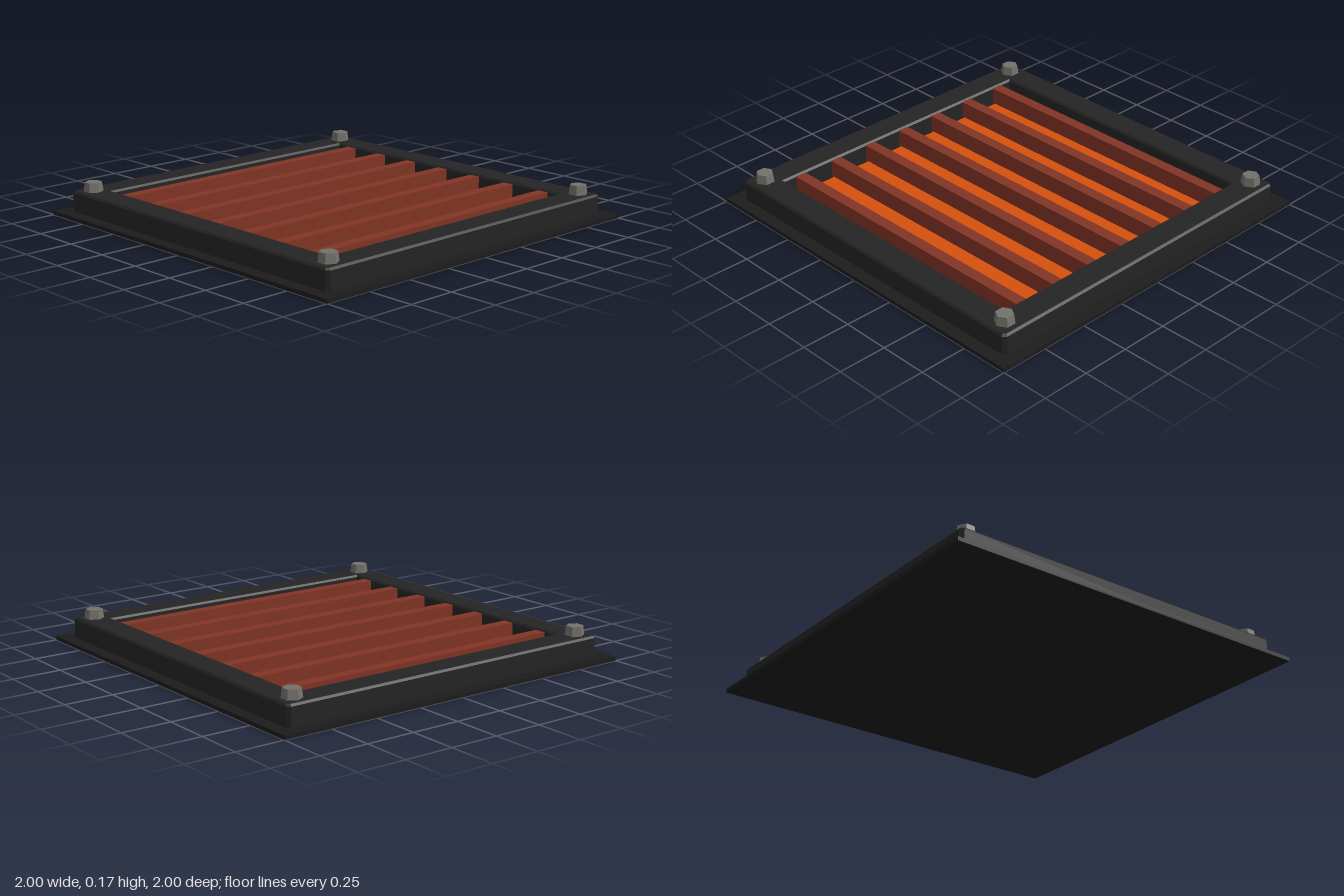
import * as THREE from 'three';

const mat = (name, color) => {
  const m = new THREE.MeshStandardMaterial({ color });
  m.name = name;
  return m;
};

export function createModel() {
  const group = new THREE.Group();
  const baseMat = mat('baseBlack', 0x1c1c1c);
  const frameMat = mat('frameCharcoal', 0x242424);
  const glowMat = mat('panelOrange', 0xd4500c);
  const slatMat = mat('slatRust', 0x803424);
  const boltMat = mat('boltGrey', 0x72716b);

  const add = (name, geometry, material, x = 0, y = 0, z = 0) => {
    const mesh = new THREE.Mesh(geometry, material);
    mesh.name = name;
    mesh.position.set(x, y, z);
    group.add(mesh);
    return mesh;
  };

  // Square outline with clipped corners
  const square = (PathType, h, c) => new PathType([
    [h - c, -h], [h, c - h], [h, h - c], [h - c, h],
    [c - h, h], [-h, h - c], [-h, c - h], [c - h, -h],
  ].map(([x, y]) => new THREE.Vector2(x, y)));

  // Thin base flange
  add('baseFlange', new THREE.BoxGeometry(2, 0.02, 2), baseMat, 0, 0.01, 0);

  // Raised frame with bevelled edges and a square opening
  const bevel = 0.01, bottom = 0.01, top = 0.125;
  const shape = square(THREE.Shape, 0.925, 0.012);
  const hole = new THREE.Path();
  const h = 0.797;
  hole.moveTo(-h, -h).lineTo(-h, h).lineTo(h, h).lineTo(h, -h).closePath();
  shape.holes.push(hole);
  const frame = new THREE.ExtrudeGeometry(shape, {
    depth: top - bottom - 2 * bevel, bevelEnabled: true,
    bevelSize: bevel, bevelThickness: bevel, bevelSegments: 1,
    bevelOffset: 0,
  });
  frame.rotateX(-Math.PI / 2);
  add('frame', frame, frameMat, 0, bottom + bevel, 0);

  // Orange panel behind the slats
  add('backPanel', new THREE.BoxGeometry(1.54, 0.012, 1.54), glowMat, 0, 0.025, 0);

  // Seven upright slats
  const slat = new THREE.BoxGeometry(1.574, 0.092, 0.06);
  for (let i = -3; i <= 3; i++) add('slat', slat, slatMat, 0, 0.072, i * 0.229);

  // Tapered hex bolts at the corners
  const bolt = new THREE.CylinderGeometry(0.043, 0.05, 0.05, 6).toNonIndexed();
  bolt.computeVertexNormals();
  for (const x of [-0.855, 0.855])
    for (const z of [-0.855, 0.855]) add('cornerBolt', bolt, boltMat, x, 0.147, z);

  return group;
}
